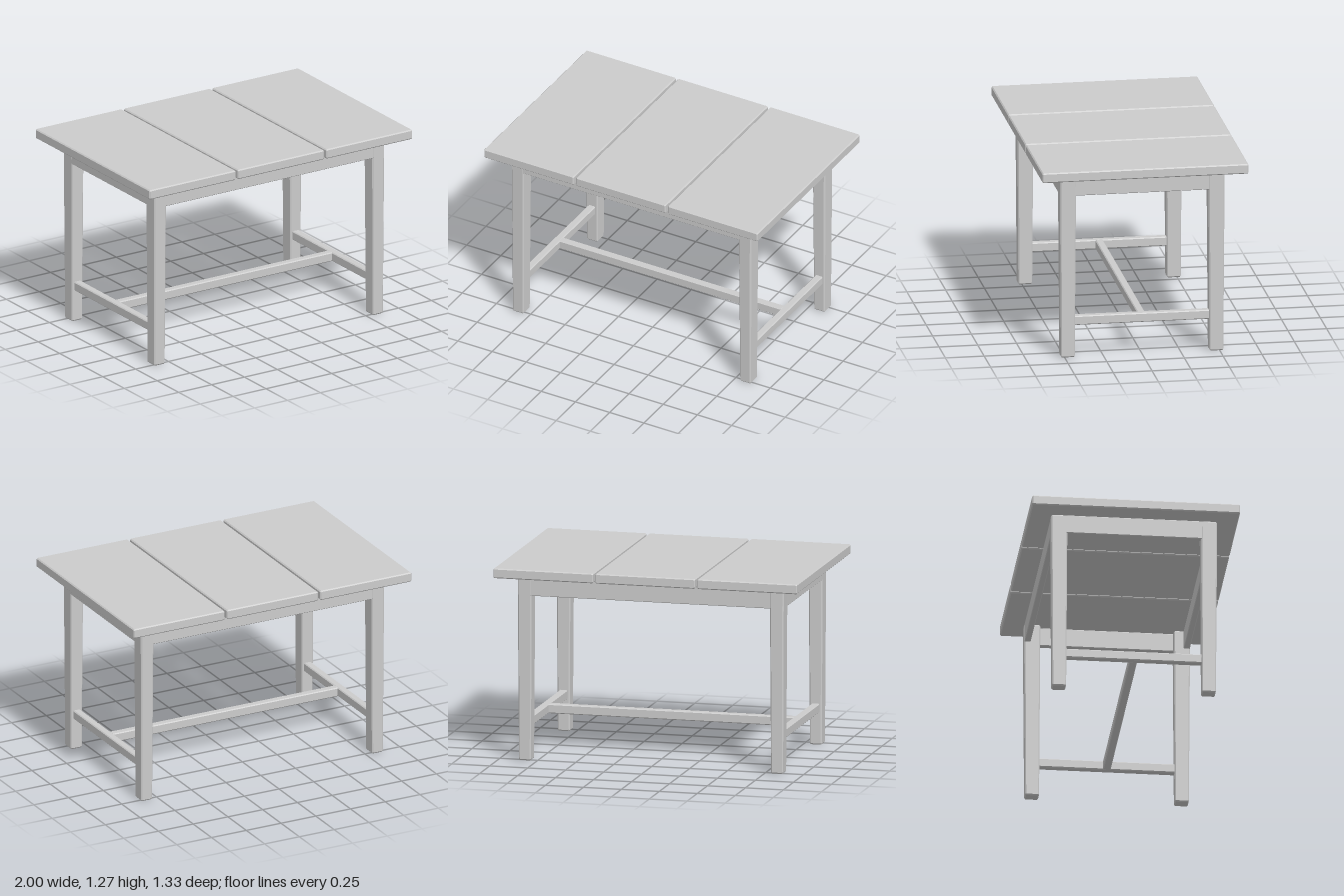
import * as THREE from 'three';

// Box with chamfered edges, centred on the origin
function chamferBox(w, h, d, c) {
  const x = w / 2, y = h / 2;
  const shape = new THREE.Shape([
    [-x + c, -y], [x - c, -y], [x, -y + c], [x, y - c],
    [x - c, y], [-x + c, y], [-x, y - c], [-x, -y + c],
  ].map(([a, b]) => new THREE.Vector2(a, b)));
  const geometry = new THREE.ExtrudeGeometry(shape, {
    depth: d - 2 * c, bevelEnabled: true, bevelSegments: 1,
    bevelThickness: c, bevelSize: c, bevelOffset: -c,
  });
  return geometry.translate(0, 0, c - d / 2);
}

export function createModel() {
  const model = new THREE.Group();
  model.name = 'table';
  const grey = new THREE.MeshStandardMaterial({ color: 0xcccccc });
  grey.name = 'plain grey';

  function add(name, geometry, x, y, z) {
    const mesh = new THREE.Mesh(geometry, grey);
    mesh.name = name;
    mesh.position.set(x, y, z);
    model.add(mesh);
  }

  // Three leaves of the top
  const leaf = chamferBox(0.657, 0.064, 1.33, 0.007);
  for (const x of [-0.6715, 0, 0.6715]) add('topLeaf', leaf, x, 1.234, 0);

  // Hinge barrels in the gaps between the leaves, each with three knuckles
  const knuckle = new THREE.CylinderGeometry(0.0075, 0.0075, 0.016, 10).rotateX(Math.PI / 2);
  for (const x of [-0.336, 0.336])
    for (const z of [-0.51, 0, 0.51])
      for (const k of [-0.018, 0, 0.018]) add('hingeKnuckle', knuckle, x, 1.206, z + k);

  // Apron boards
  const longApron = chamferBox(1.66, 0.122, 0.04, 0.004);
  const sideApron = chamferBox(0.04, 0.122, 0.97, 0.004);
  for (const s of [-1, 1]) {
    add('longApron', longApron, 0, 1.133, s * 0.509);
    add('sideApron', sideApron, s * 0.854, 1.133, 0);
  }

  // Legs, tapering slightly toward the floor
  const legHeight = 1.195;
  const leg = chamferBox(0.092, legHeight, 0.105, 0.008);
  const p = leg.attributes.position;
  for (let i = 0; i < p.count; i++) {
    const t = p.getY(i) / legHeight + 0.5;
    p.setX(i, p.getX(i) * (0.86 + 0.14 * t));
    p.setZ(i, p.getZ(i) * (0.85 + 0.15 * t));
  }
  leg.computeVertexNormals();
  for (const x of [-0.83, 0.83])
    for (const z of [-0.479, 0.479]) add('leg', leg, x, legHeight / 2, z);

  // H-shaped stretcher
  const sideStretcher = chamferBox(0.05, 0.06, 0.9, 0.006);
  for (const x of [-0.83, 0.83]) add('sideStretcher', sideStretcher, x, 0.238, 0);
  add('longStretcher', chamferBox(1.63, 0.06, 0.05, 0.006), 0, 0.238, 0);

  return model;
}
